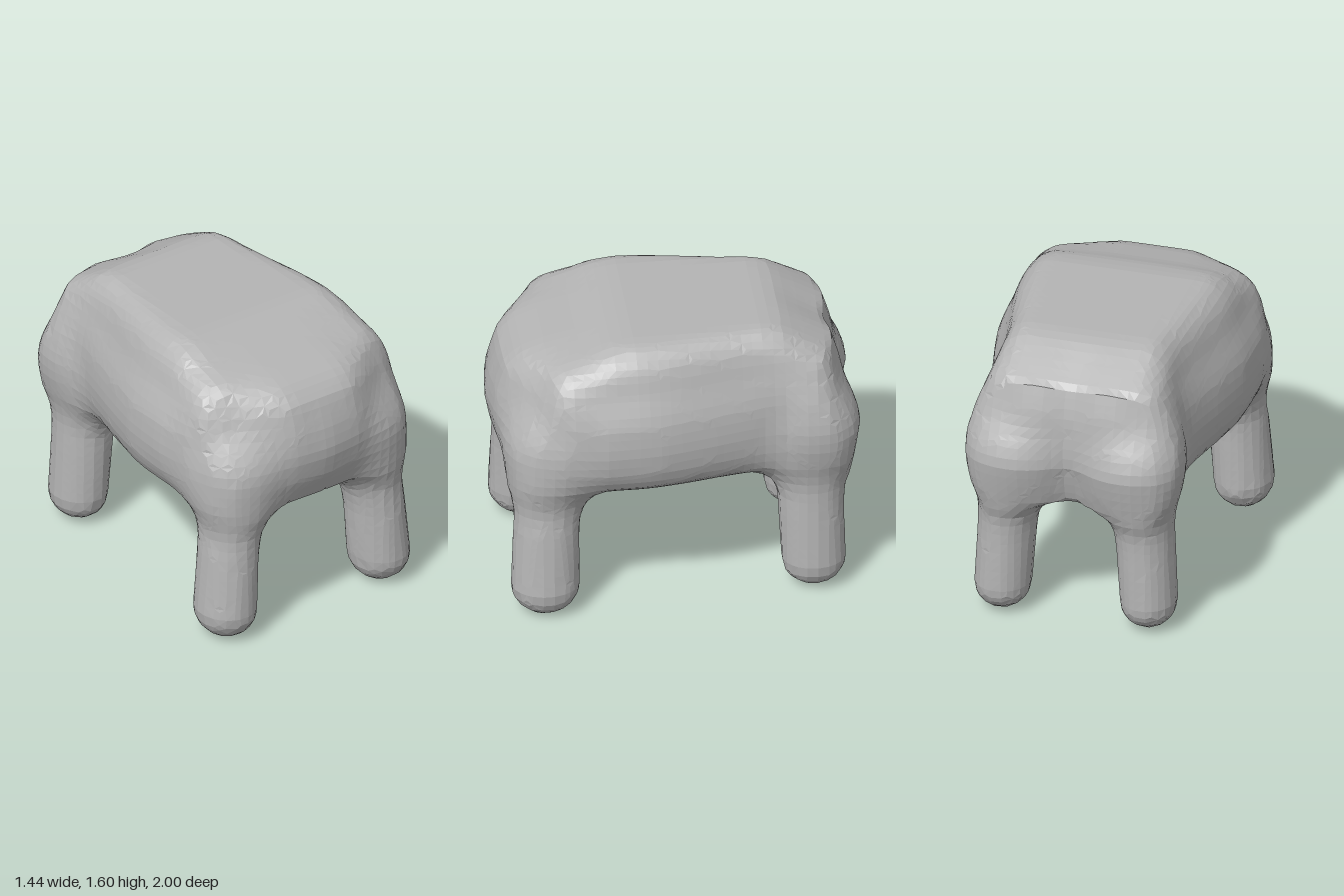
import * as THREE from 'three';

const clay = new THREE.MeshStandardMaterial({ color: 0xb4b4b4, flatShading: true });
clay.name = 'grey clay';

const { smoothstep, lerp, clamp } = THREE.MathUtils;

// Trunk outlines: side as [z, y], plan as [|x|, z], cross-section as [|x|, y].
// Plan and cross-section run past the centre line, so mirroring leaves no crease.
const sideOutline = [[1.03, 1.07], [1.0, 1.2], [0.92, 1.37], [0.83, 1.45], [0.72, 1.495], [0.5, 1.545],
  [0.38, 1.585], [0.25, 1.605], [-0.5, 1.605], [-0.6, 1.585], [-0.74, 1.515], [-0.87, 1.445],
  [-0.92, 1.3], [-0.95, 1.17], [-1.01, 0.99], [-0.96, 0.85], [-0.91, 0.74], [-0.8, 0.71],
  [0.75, 0.71], [0.9, 0.78], [0.98, 0.92]];
const planOutline = [[-0.25, 1.0], [0, 1.045], [0.22, 1.0], [0.42, 0.93], [0.55, 0.87], [0.63, 0.79],
  [0.69, 0.64], [0.735, 0.4], [0.715, 0.1], [0.65, -0.2], [0.57, -0.48], [0.55, -0.58], [0.595, -0.72],
  [0.585, -0.83], [0.49, -0.94], [0.25, -1.02], [0, -1.0], [-0.25, -1.02]];
const crossOutline = [[-0.5, 0.5], [0.46, 0.5], [0.57, 0.71], [0.66, 0.82], [0.72, 0.94], [0.74, 1.06],
  [0.71, 1.2], [0.63, 1.37], [0.56, 1.56], [0.49, 1.8], [-0.5, 1.8]];

// Leg joints from foot to shoulder: x, y, z, radius.
const legs = {
  FrontLeg: [[0.515, 0.165, 0.728, 0.165], [0.49, 0.5, 0.72, 0.16], [0.45, 0.76, 0.705, 0.165],
    [0.44, 0.98, 0.69, 0.16]],
  BackLeg: [[0.41, 0.165, -0.745, 0.155], [0.39, 0.5, -0.735, 0.16], [0.37, 0.75, -0.735, 0.17],
    [0.36, 0.98, -0.75, 0.19]],
};

// Signed distance to a polygon, negative inside.
function polygonDistance(poly, x, y) {
  let best = Infinity, inside = false;
  poly.forEach(([ax, ay], i) => {
    const [bx, by] = poly[(i + 1) % poly.length];
    const ex = bx - ax, ey = by - ay;
    const t = clamp(((x - ax) * ex + (y - ay) * ey) / (ex * ex + ey * ey), 0, 1);
    best = Math.min(best, Math.hypot(x - ax - ex * t, y - ay - ey * t));
    if ((ay > y) !== (by > y) && x < ax + (ex * (y - ay)) / ey) inside = !inside;
  });
  return inside ? -best : best;
}

// Rounded union and rounded intersection.
const join = (a, b, k) => Math.min(a, b) - Math.max(k - Math.abs(a - b), 0) ** 2 / (4 * k);
const meet = (a, b, k) => -join(-a, -b, k);

// The trunk is what the three outlines share, with a cleft between the haunches
// and the upper corners drawn in at the chest and the rump.
function trunkDistance(x, y, z) {
  const low = 1 - smoothstep(y, 0.85, 1.25);
  const cleft = smoothstep(-z, 0.5, 0.85) * (0.03 + 0.04 * low) * Math.exp(-((x / 0.12) ** 2));
  const corner = smoothstep(y, 0.95, 1.45) * smoothstep(x, 0.15, 0.62);
  const drawIn = 0.17 * smoothstep(z, 0.3, 0.8) - 0.07 * smoothstep(-z, 0.3, 0.8);
  const zc = z - cleft + corner * drawIn;
  const taper = lerp(0.81, 1, smoothstep(z, -0.55, 0.25));
  const cross = polygonDistance(crossOutline, x / taper, y);
  const plan = polygonDistance(planOutline, x, zc);
  return meet(polygonDistance(sideOutline, zc, y), meet(cross, plan, 0.06), 0.15);
}

// A limb of tapering round links, slightly deeper than wide.
function limbDistance(joints, x, y, z) {
  let d = Infinity;
  for (let i = 0; i < joints.length - 1; i++) {
    const [ax, ay, az, ar] = joints[i], [bx, by, bz, br] = joints[i + 1];
    const ex = bx - ax, ey = by - ay, ez = bz - az;
    const t = clamp(((x - ax) * ex + (y - ay) * ey + (z - az) * ez) / (ex * ex + ey * ey + ez * ez), 0, 1);
    const dist = Math.hypot(x - ax - ex * t, y - ay - ey * t, (z - az - ez * t) * 0.89);
    d = Math.min(d, dist - lerp(ar, br, t));
  }
  return d;
}

function skin([sx, y, z]) {
  const x = Math.abs(sx);
  const limbs = Math.min(...Object.values(legs).map(l => limbDistance(l, x, y, z)));
  return join(trunkDistance(x, y, z), limbs, 0.17);
}

// Slide a point onto the skin along its slope.
function settle(p) {
  const e = 0.01;
  for (let step = 0; step < 2; step++) {
    const f = skin(p);
    const g = p.map((_, a) => {
      const hi = [...p], lo = [...p];
      hi[a] += e;
      lo[a] -= e;
      return (skin(hi) - skin(lo)) / (2 * e);
    });
    const slope = Math.max(g[0] ** 2 + g[1] ** 2 + g[2] ** 2, 0.5);
    p = p.map((v, a) => v - clamp((f * g[a]) / slope, -0.012, 0.012));
  }
  return p;
}

// Name of the part that a face at this point belongs to.
function partAt([x, y, z]) {
  if (y > 0.66) return 'trunk';
  return (x > 0 ? 'left' : 'right') + (z > 0 ? 'FrontLeg' : 'BackLeg');
}

export function createModel() {
  const model = new THREE.Group();
  model.name = 'fourLeggedBody';
  const cell = 0.058, origin = [-0.87, -0.09, -1.131], count = [31, 32, 40];
  const [nx, ny, nz] = count;
  const at = (i, j, k) => (k * ny + j) * nx + i;
  const point = n => n.map((v, a) => origin[a] + v * cell);
  const field = new Float32Array(nx * ny * nz);
  const eachNode = visit => {
    for (let k = 0; k < nz; k++) for (let j = 0; j < ny; j++) for (let i = 0; i < nx; i++) visit([i, j, k]);
  };
  eachNode(n => { field[at(...n)] = skin(point(n)); });

  // One corner per crossed grid cell: the middle of the crossings on its edges.
  const points = [], ids = new Map();
  const corner = n => {
    const key = at(...n);
    if (ids.has(key)) return ids.get(key);
    const sum = [0, 0, 0];
    let hits = 0;
    for (let e = 0; e < 12; e++) {
      const a = e >> 2, from = [...n];
      from[(a + 1) % 3] += e & 1;
      from[(a + 2) % 3] += (e >> 1) & 1;
      const to = [...from];
      to[a]++;
      const f = field[at(...from)], g = field[at(...to)];
      if (f < 0 === g < 0) continue;
      from[a] += f / (f - g);
      from.forEach((v, c) => { sum[c] += v; });
      hits++;
    }
    ids.set(key, points.length);
    points.push(settle(point(sum.map(v => v / hits))));
    return ids.get(key);
  };

  // One four-sided face across every grid edge that the skin crosses.
  const faces = {};
  eachNode(n => {
    for (let a = 0; a < 3; a++) {
      if (n[a] + 1 >= count[a]) continue;
      const next = [...n];
      next[a]++;
      const inside = field[at(...n)] < 0;
      if (inside === field[at(...next)] < 0) continue;
      const quad = [[0, 0], [1, 0], [1, 1], [0, 1]].map(([db, dc]) => {
        const m = [...n];
        m[(a + 1) % 3] -= db;
        m[(a + 2) % 3] -= dc;
        return corner(m);
      });
      if (!inside) quad.reverse();
      const [p, q, r, s] = quad;
      (faces[partAt(point(n))] ??= []).push(p, q, r, p, r, s);
    }
  });

  const position = new THREE.Float32BufferAttribute(points.flat(), 3);
  for (const [name, index] of Object.entries(faces)) {
    const geo = new THREE.BufferGeometry();
    geo.setAttribute('position', position);
    geo.setIndex(index);
    geo.computeVertexNormals();
    const mesh = new THREE.Mesh(geo, clay);
    mesh.name = name;
    model.add(mesh);
  }
  return model;
}
